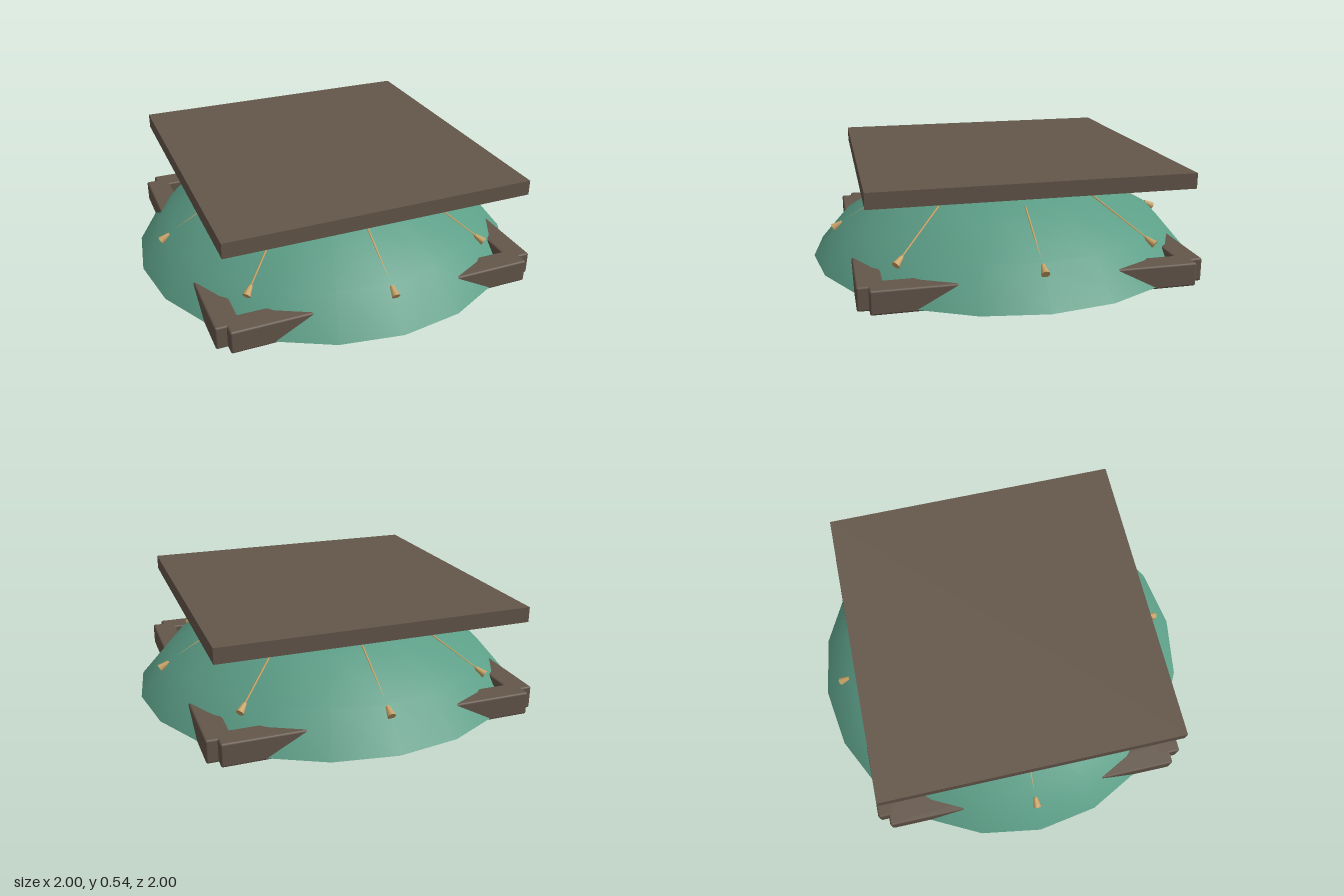
import * as THREE from 'three';
import { RoundedBoxGeometry } from 'three/addons/geometries/RoundedBoxGeometry.js';

export function createModel() {
  const material = (name, color) => {
    const m = new THREE.MeshStandardMaterial({ color });
    m.name = name;
    return m;
  };
  const wood = material('dark wood', 0x64564a);
  const cloth = material('green canvas', 0x5c9e87);
  const rope = material('tan rope', 0xc9a468);

  const model = new THREE.Group();
  const add = (name, geometry, mat, parent = model) => {
    const mesh = new THREE.Mesh(geometry, mat);
    mesh.name = name;
    parent.add(mesh);
    return mesh;
  };

  // Twenty-sided canvas dome, listed from rim to crown, with a flat floor
  const profile = [[1, 0.01], [0.845, 0.19], [0.54, 0.362], [0.2, 0.441], [0, 0.453]]
    .map(([r, y]) => new THREE.Vector2(r, y));
  add('dome', new THREE.LatheGeometry(profile, 20), cloth);
  const floor = new THREE.CircleGeometry(1, 20);
  floor.rotateX(Math.PI / 2);
  add('domeFloor', floor, cloth).position.y = 0.01;

  // Flat square board above the dome
  add('topBoard', new THREE.BoxGeometry(1.535, 0.075, 1.535), wood).position.y = 0.503;

  // Four rounded beams forming the base frame, with notched corners
  const frame = new THREE.Group();
  frame.name = 'baseFrame';
  model.add(frame);
  const beam = new RoundedBoxGeometry(1.535, 0.116, 0.122, 2, 0.01);
  beam.translate(0, 0.058, 0.761);
  for (let i = 0; i < 4; i++) {
    add('frameBeam', beam, wood, frame).rotation.y = i * Math.PI / 2;
  }

  // Eight guy lines, each ending in a flared peg that follows the slope
  const up = new THREE.Vector3(0, 1, 0);
  const top = new THREE.Vector3(0, 0.362, 0.54);
  const low = new THREE.Vector3(0, 0.168, 0.872);
  const slope = top.clone().sub(low);
  const tilt = new THREE.Quaternion().setFromUnitVectors(up, slope.clone().normalize());
  const lineGeometry = new THREE.CylinderGeometry(0.005, 0.005, slope.length(), 6);
  const pegGeometry = new THREE.CylinderGeometry(0.01, 0.021, 0.055, 8);
  for (let i = 0; i < 8; i++) {
    const guy = new THREE.Group();
    guy.name = 'guyLine';
    guy.rotation.y = i * Math.PI / 4;
    model.add(guy);
    const line = add('rope', lineGeometry, rope, guy);
    line.position.copy(top).add(low).multiplyScalar(0.5);
    line.quaternion.copy(tilt);
    const peg = add('peg', pegGeometry, rope, guy);
    peg.position.copy(low);
    peg.quaternion.copy(tilt);
  }
  return model;
}
